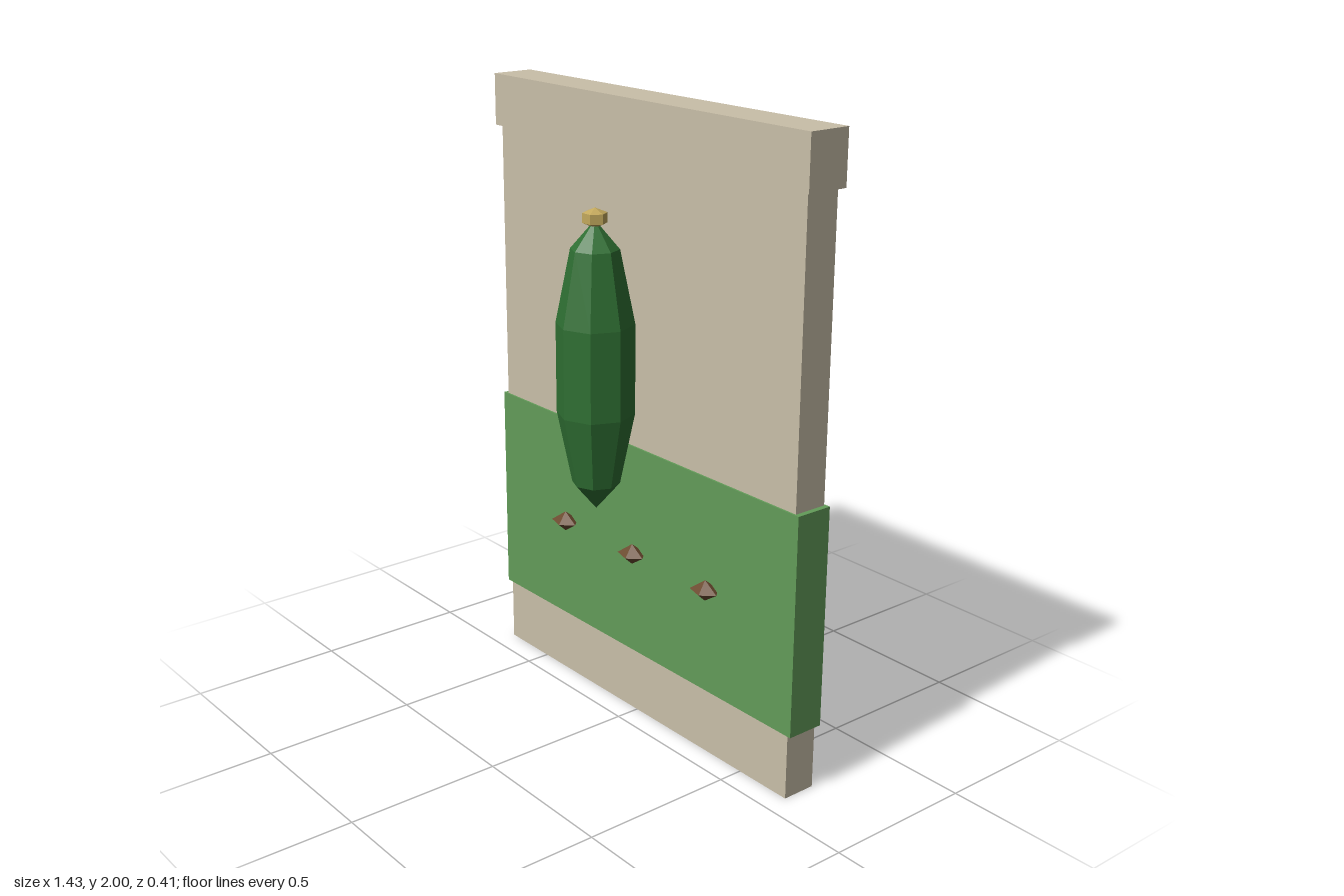
import * as THREE from 'three';

const material = (name, color, flatShading = false) => {
  const m = new THREE.MeshStandardMaterial({ color, flatShading });
  m.name = name;
  return m;
};

export function createModel() {
  const model = new THREE.Group();
  model.name = 'seedPacket';

  const paper = material('paper', 0xc9bfa8);
  const label = material('labelGreen', 0x639c59);
  const skin = material('cucumberGreen', 0x2f7033, true);
  const stemTan = material('stemTan', 0xc2a85c, true);
  const seedBrown = material('seedBrown', 0x6b4a2f, true);

  const add = (name, geometry, mat, x, y, z) => {
    const mesh = new THREE.Mesh(geometry, mat);
    mesh.name = name;
    mesh.position.set(x, y, z);
    model.add(mesh);
    return mesh;
  };

  // Packet: flat body, folded top and wrap-around label
  const backZ = -0.135;
  add('packetBody', new THREE.BoxGeometry(1.4, 1.9, 0.112), paper, 0, 0.95, backZ);
  add('topFold', new THREE.BoxGeometry(1.434, 0.165, 0.14), paper, 0, 1.9175, backZ);
  add('labelBand', new THREE.BoxGeometry(1.434, 0.705, 0.124), label, 0, 0.567, backZ);

  // Faceted low-poly ellipsoid
  const gem = (rx, ry, rz, sides, rows) =>
    new THREE.SphereGeometry(1, sides, rows).scale(rx, ry, rz);

  // Cucumber hanging in front, with its stem
  add('cucumber', gem(0.126, 0.453, 0.126, 8, 5), skin, 0, 1.213, 0.088);
  add('stem', gem(0.043, 0.03, 0.043, 6, 3), stemTan, 0, 1.672, 0.088);

  // Row of seeds on the label
  for (const x of [-0.35, 0, 0.35]) {
    add('seed', gem(0.052, 0.034, 0.042, 5, 2).rotateY(Math.PI), seedBrown, x, 0.565, -0.055);
  }

  return model;
}
